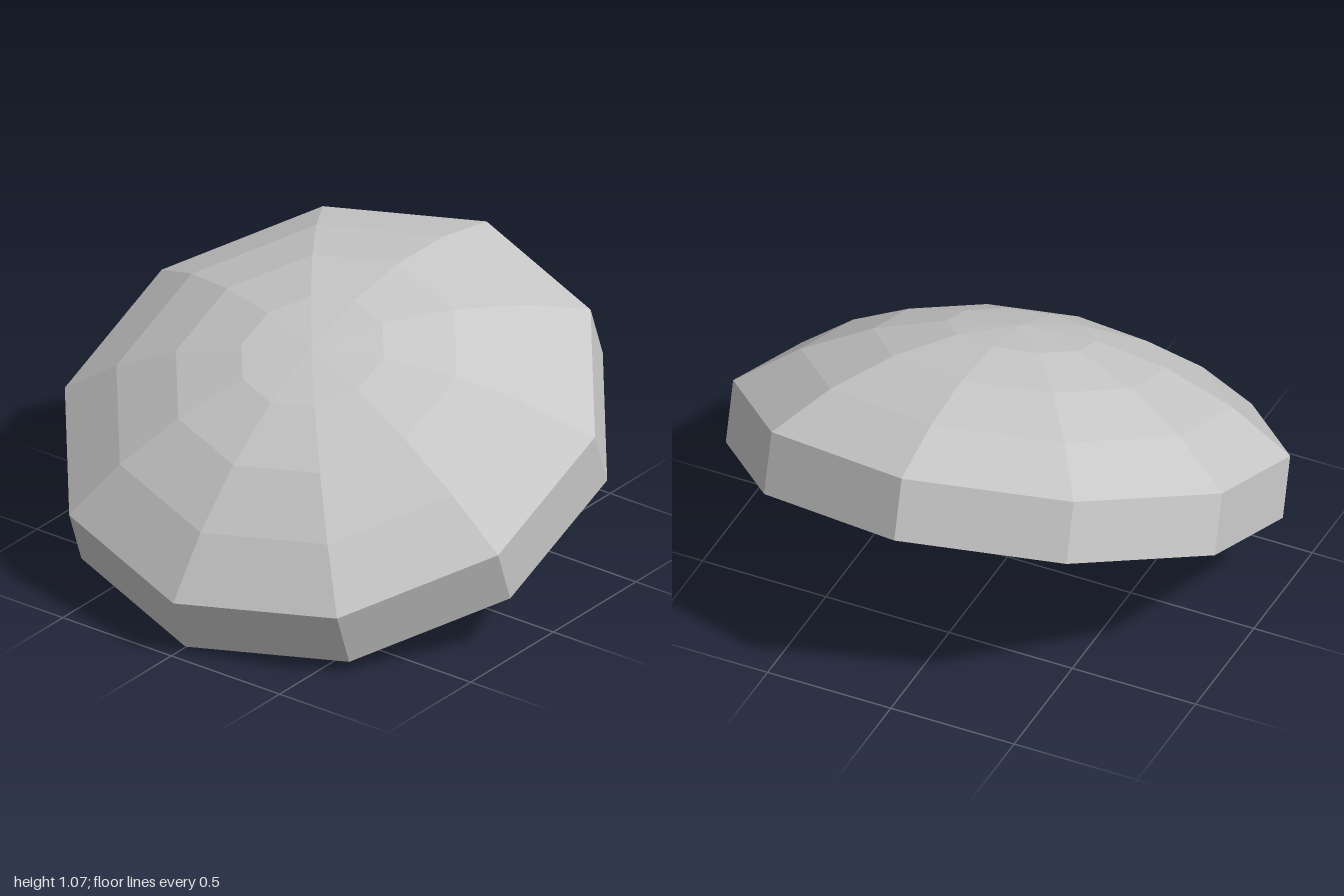
import * as THREE from 'three';

const SIDES = 10;
const RIM_RADIUS = 1.0325;
const BASE_DEPTH = 0.238;
const DOME_HEIGHT = 0.36;
const DOME_BANDS = 4;

export function createModel() {
  const model = new THREE.Group();
  model.name = 'tiltedDome';

  const grey = new THREE.MeshStandardMaterial({ color: 0xc8c8c8, flatShading: true });
  grey.name = 'light grey';

  // Faceted solid of revolution from a profile that runs from bottom to top
  const addLathe = (name, profile) => {
    const points = profile.map(([r, y]) => new THREE.Vector2(r, y));
    const mesh = new THREE.Mesh(new THREE.LatheGeometry(points, SIDES), grey);
    mesh.name = name;
    model.add(mesh);
  };

  // Base: closed underside and straight wall up to the rim
  addLathe('base', [[0, -BASE_DEPTH], [RIM_RADIUS, -BASE_DEPTH], [RIM_RADIUS, 0]]);

  // Dome: spherical cap divided into equal angular bands
  const sphere = (RIM_RADIUS ** 2 + DOME_HEIGHT ** 2) / (2 * DOME_HEIGHT);
  const capAngle = Math.asin(RIM_RADIUS / sphere);
  const cap = [];
  for (let i = DOME_BANDS; i >= 0; i--) {
    const a = (capAngle * i) / DOME_BANDS;
    cap.push([sphere * Math.sin(a), DOME_HEIGHT - sphere * (1 - Math.cos(a))]);
  }
  addLathe('dome', cap);

  // Lean the whole piece forward and slightly to its left
  const up = new THREE.Vector3(0.053, 0.924, 0.379).normalize();
  const side = new THREE.Vector3().crossVectors(up, new THREE.Vector3(0.005, -0.38, 0.925)).normalize();
  const front = new THREE.Vector3().crossVectors(side, up);
  model.quaternion.setFromRotationMatrix(new THREE.Matrix4().makeBasis(side, up, front));
  model.position.set(0.004, 0.613, 0.045);

  return model;
}
